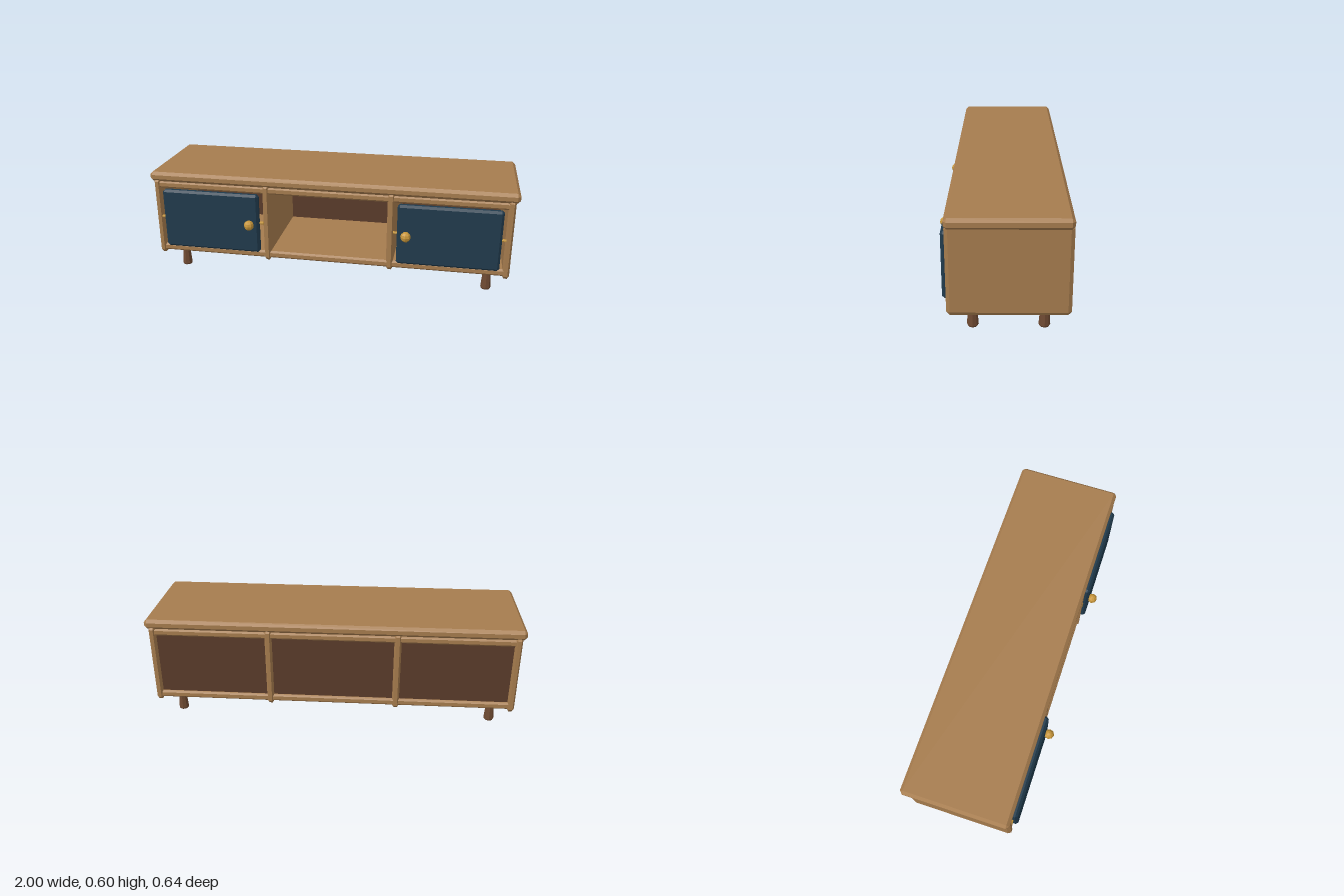
import * as THREE from 'three';
import { ConvexGeometry } from 'three/addons/geometries/ConvexGeometry.js';

const paint = (color) => new THREE.MeshStandardMaterial({ color, flatShading: true });

// Box between two corners with all edges chamfered by c = [cx, cy, cz]
function chamferBox(min, max, c) {
  const mid = min.map((v, i) => (v + max[i]) / 2);
  const half = min.map((v, i) => (max[i] - v) / 2);
  const points = [];
  for (const sx of [-1, 1]) for (const sy of [-1, 1]) for (const sz of [-1, 1]) {
    const s = [sx, sy, sz];
    // Each corner becomes three points, one on each adjoining face
    for (let face = 0; face < 3; face++) {
      points.push(new THREE.Vector3(...s.map((sign, i) =>
        mid[i] + sign * (half[i] - (i === face ? 0 : c[i])))));
    }
  }
  return new ConvexGeometry(points);
}

export function createModel() {
  const group = new THREE.Group();
  const wood = paint(0xa67c4e);
  const backWood = paint(0x5a3b2a);
  const legWood = paint(0x6f4a32);
  const blue = paint(0x203a4c);
  const brass = paint(0xc6953a);

  const add = (name, geometry, material, x = 0, y = 0, z = 0) => {
    const mesh = new THREE.Mesh(geometry, material);
    mesh.name = name;
    mesh.position.set(x, y, z);
    group.add(mesh);
    return mesh;
  };

  // Table top
  add('top', chamferBox([-1, 0.546, -0.32], [1, 0.6, 0.253], [0.016, 0.016, 0.016]), wood);

  // Long boards above and below the compartments
  for (const [name, y] of [['bottomBoard', 0.15], ['upperBoard', 0.528]]) {
    add(name, chamferBox([-0.979, y - 0.02, -0.313], [0.979, y + 0.02, 0.244],
      [0.01, 0.01, 0.01]), wood);
  }

  // Outer sides and inner dividers
  const upright = chamferBox([-0.019, 0.115, -0.32], [0.019, 0.563, 0.251], [0.01, 0.018, 0.017]);
  for (const side of [-1, 1]) {
    add('sidePanel', upright, wood, side * 0.962);
    add('divider', upright, wood, side * 0.342);
  }

  // Recessed back
  add('backPanel', new THREE.BoxGeometry(1.92, 0.4, 0.02), backWood, 0, 0.34, -0.29);

  // Doors with knobs and pivot pins
  const door = chamferBox([-0.273, 0.17, 0.232], [0.273, 0.508, 0.273], [0.012, 0.012, 0.012]);
  const knob = new THREE.SphereGeometry(0.028, 8, 6);
  const pin = new THREE.CylinderGeometry(0.008, 0.008, 0.59, 8).rotateZ(Math.PI / 2);
  for (const side of [-1, 1]) {
    add('door', door, blue, side * 0.652);
    add('knob', knob, brass, side * 0.428, 0.34, 0.292);
    add('doorPin', pin, brass, side * 0.652, 0.34, 0.244);
  }

  // Tapered legs
  const leg = new THREE.LatheGeometry([
    [0, 0], [0.024, 0], [0.028, 0.008], [0.02, 0.12], [0.016, 0.135], [0, 0.135],
  ].map(([r, y]) => new THREE.Vector2(r, y)), 8);
  for (const x of [-0.87, 0.87]) {
    for (const z of [-0.203, 0.136]) add('leg', leg, legWood, x, 0, z);
  }

  return group;
}
